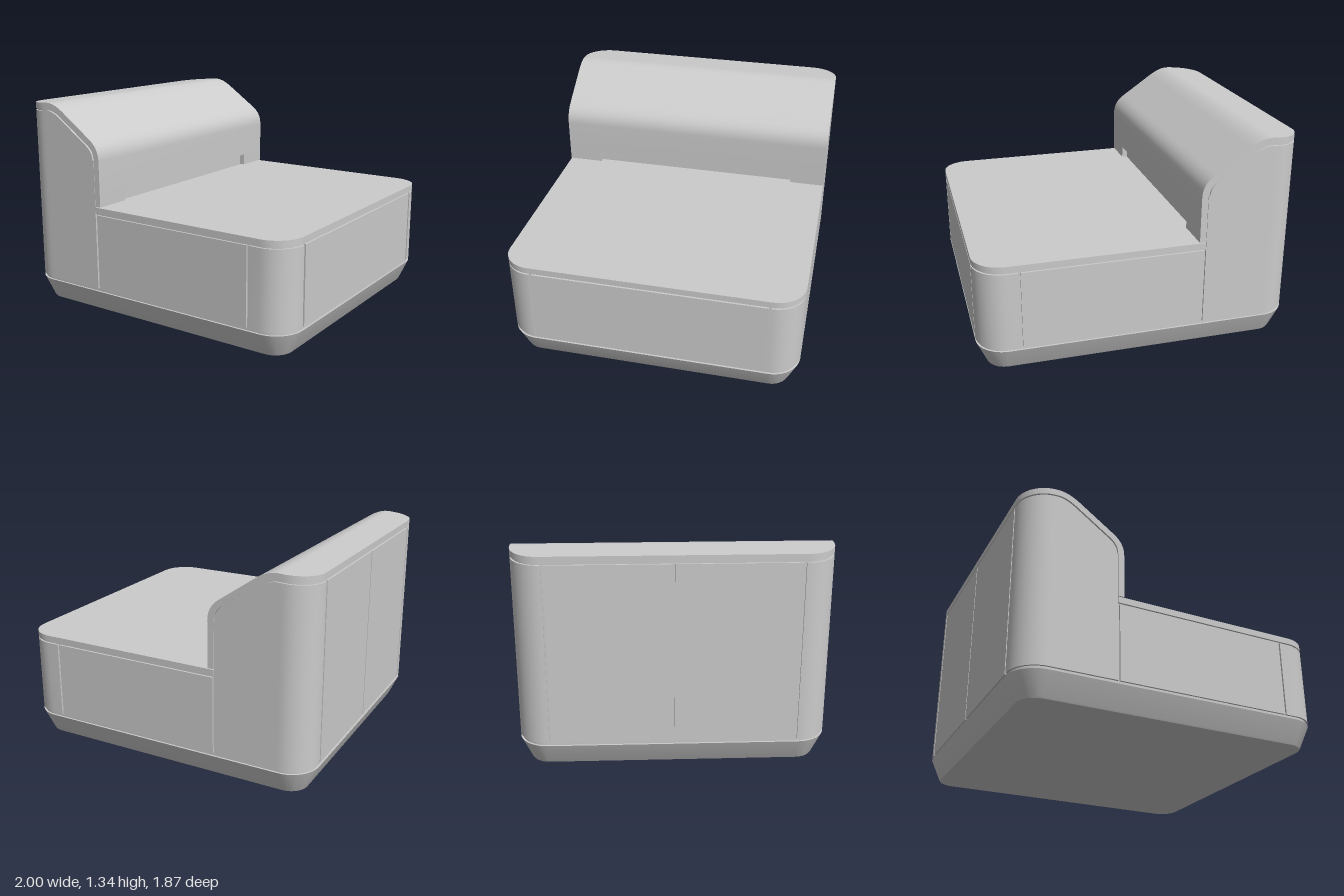
import * as THREE from 'three';
import { toCreasedNormals } from 'three/addons/utils/BufferGeometryUtils.js';

const W = 1, D = 0.935, R = 0.18;            // half width, half depth, plan corner radius
const GAP = 0.012, SKIN = 0.03;              // groove depth, panel thickness
const Y0 = 0.165, LOW = 0.655;               // lower panels, bottom and top
const CAP = 0.04;                            // thickness of the cap over the tall part
const material = new THREE.MeshStandardMaterial({ color: 0xcccccc });

// Solid through a list of rings with equal point counts, closed at both ends
function loft(rings) {
  const tris = [];
  const n = rings[0].length;
  const add = (a, b, c) => {
    const area = new THREE.Vector3().subVectors(b, a).cross(new THREE.Vector3().subVectors(c, a)).length();
    if (area > 1e-9) tris.push([a, b, c]);
  };
  for (let i = 0; i < rings.length - 1; i++) {
    for (let j = 0; j < n; j++) {
      const k = (j + 1) % n, p = rings[i], q = rings[i + 1];
      add(p[j], p[k], q[k]);
      add(p[j], q[k], q[j]);
    }
  }
  const last = rings[rings.length - 1];
  for (let j = 1; j < n - 1; j++) {
    add(rings[0][0], rings[0][j + 1], rings[0][j]);
    add(last[0], last[j], last[j + 1]);
  }
  // Turn the faces outward whichever way the rings run
  let volume = 0;
  for (const [a, b, c] of tris) volume += a.dot(new THREE.Vector3().crossVectors(b, c));
  const pts = tris.flatMap(([a, b, c]) => (volume < 0 ? [a, c, b] : [a, b, c]));
  return toCreasedNormals(new THREE.BufferGeometry().setFromPoints(pts), 0.5);
}

const v = (x, y, z) => new THREE.Vector3(x, y, z);

// Rounded rectangle in plan at height y, optionally cut off at minX
function outline(y, inset = 0, minX = -2) {
  const ring = [];
  const r = R - inset;
  [[1, 1], [-1, 1], [-1, -1], [1, -1]].forEach(([sx, sz], q) => {
    for (let i = 0; i <= 12; i++) {
      const a = (q + i / 12) * Math.PI / 2;
      ring.push(v(Math.max(minX, sx * (W - R) + r * Math.cos(a)), y, sz * (D - R) + r * Math.sin(a)));
    }
  });
  return ring;
}

// Half depth of the plan at a given x
function halfDepth(x, inset = 0) {
  const r = R - inset;
  const over = Math.max(0, Math.min(r, Math.abs(x) - (W - R)));
  return D - R + Math.sqrt(r * r - over * over);
}

// Panel following the plan outline; path points are [x, z, top]
function wall(path) {
  return loft(path.map(([x, z, top]) => {
    const cx = THREE.MathUtils.clamp(x, R - W, W - R);
    const cz = THREE.MathUtils.clamp(z, R - D, D - R);
    const k = (R - SKIN) / R;
    const ix = cx + (x - cx) * k, iz = cz + (z - cz) * k;
    return [v(x, Y0, z), v(x, top, z), v(ix, top, iz), v(ix, Y0, iz)];
  }));
}

// Side profile of the cap, from its front foot up and over to the outer wall
function capProfile() {
  const path = new THREE.Path();
  path.moveTo(-0.36, 0.79).lineTo(-0.36, 1.0);
  path.bezierCurveTo(-0.36, 1.07, -0.395, 1.11, -0.44, 1.14);
  path.lineTo(-0.65, 1.285);
  path.bezierCurveTo(-0.70, 1.32, -0.75, 1.341, -0.80, 1.338);
  const pts = path.getPoints(12);
  for (let i = 0; i <= 14; i++) {
    const x = R - W - R * Math.sin(i / 14 * Math.PI / 2);
    pts.push(new THREE.Vector2(x, 1.338 + (x + 0.8) * 0.065));
  }
  return pts;
}

// Profile moved inward by t
function offset(pts, t) {
  return pts.map((p, i) => {
    if (p.x < -0.81) return new THREE.Vector2(p.x, p.y - t);
    const d = pts[Math.min(i + 1, pts.length - 1)].clone().sub(pts[Math.max(i - 1, 0)]).normalize();
    if (i < 2) d.set(0, 1);
    return new THREE.Vector2(p.x - d.y * t, p.y + d.x * t);
  });
}

export function createModel() {
  const group = new THREE.Group();
  const add = (name, geometry) => {
    const mesh = new THREE.Mesh(geometry, material);
    mesh.name = name;
    group.add(mesh);
    return mesh;
  };

  // Tapered plinth and the recessed core that shows in the grooves
  add('plinth', loft([outline(0, 0.066), outline(0.01, 0.06), outline(0.145)]));
  add('lowerCore', loft([outline(0.14, GAP), outline(0.68, GAP)]));
  add('counterTop', loft([outline(0.665, 0, -0.4), outline(0.705, 0, -0.4)]));

  // Tall part: core and curved cap
  const outer = capProfile();
  const inner = offset(outer, CAP);
  add('tallCore', loft(inner.slice(1).map((p) => {
    const x = Math.max(p.x, GAP - W), d = halfDepth(x, GAP);
    return [v(x, 0.6, d), v(x, p.y, d), v(x, p.y, -d), v(x, 0.6, -d)];
  })));
  add('curvedCap', loft(outer.map((o, i) => {
    const n = inner[i], a = halfDepth(o.x), b = halfDepth(n.x);
    return [v(o.x, o.y, a), v(o.x, o.y, -a), v(n.x, n.y, -b), v(n.x, n.y, b)];
  })));

  // Panels, mirrored front to back; the cap feet leave a long slot between them
  const rim = offset(outer, CAP + 0.011).slice(1);
  const backTop = rim[rim.length - 1].y;
  for (const s of [1, -1]) {
    const side = s > 0 ? 'front' : 'rear';
    const foot = add(side + 'CapFoot', new THREE.BoxGeometry(CAP, 0.08, D - 0.7));
    foot.position.set(-0.38, 0.75, s * (D + 0.7) / 2);

    const tall = rim.map((p) => [p.x, s * halfDepth(p.x), p.y]);
    tall[0][0] = -0.402;
    add(side + 'TallPanel', wall([...tall, [-W, s * 0.745, backTop]]));

    add(side + 'OuterPanel', wall([[-W, s * 0.732, backTop], [-W, s * 0.005, backTop]]));
    add(side + 'LowPanel', wall([[-0.39, s * D, LOW], [0.736, s * D, LOW]]));

    const corner = [[0.749, s * D, LOW]];
    for (let i = 0; i <= 12; i++) {
      const a = i / 12 * Math.PI / 2;
      corner.push([W - R + R * Math.sin(a), s * (D - R + R * Math.cos(a)), LOW]);
    }
    add(side + 'CornerPanel', wall([...corner, [W, s * 0.749, LOW]]));
  }
  add('endPanel', wall([[W, 0.732, LOW], [W, -0.732, LOW]]));

  return group;
}
